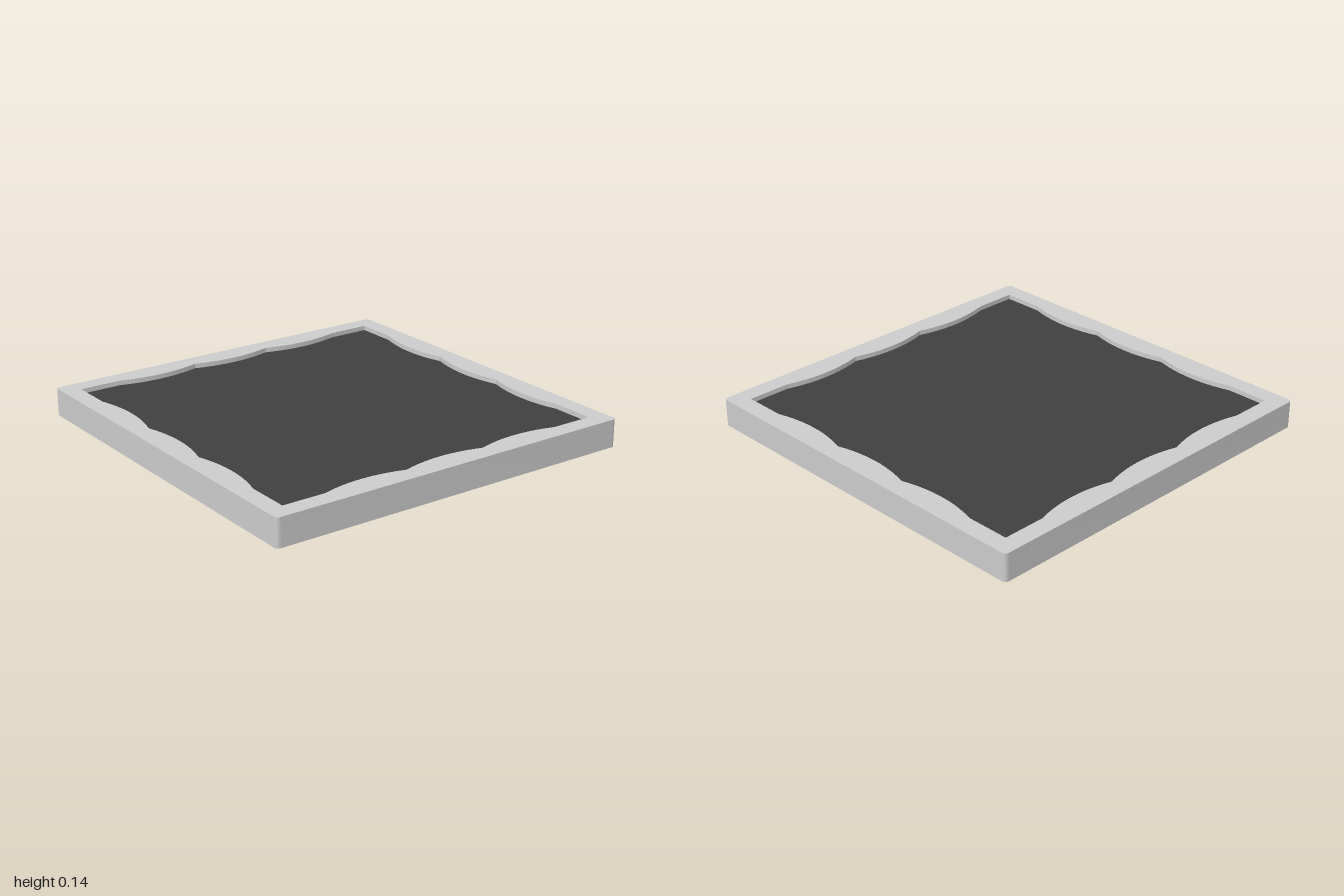
import * as THREE from 'three';
import { toCreasedNormals } from 'three/addons/utils/BufferGeometryUtils.js';

const HEIGHT = 0.145, PANEL_TOP = 0.12;
const INNER = 0.905, WAVE_END = 0.68, WAVES = 3, WAVE_DEPTH = 0.035;

// Square outline with rounded corners
function roundedSquare(half, r) {
  const s = new THREE.Shape(), c = half - r;
  s.absarc(c, c, r, 0, Math.PI / 2);
  s.absarc(-c, c, r, Math.PI / 2, Math.PI);
  s.absarc(-c, -c, r, Math.PI, Math.PI * 1.5);
  s.absarc(c, -c, r, Math.PI * 1.5, Math.PI * 2);
  s.closePath();
  return s;
}

// Square outline whose sides each carry three shallow inward scallops
function scallopedSquare(PathType) {
  const path = new PathType();
  const step = (2 * WAVE_END) / WAVES;
  path.moveTo(INNER, -INNER);
  for (let side = 0; side < 4; side++) {
    const a = (side * Math.PI) / 2, c = Math.cos(a), s = Math.sin(a);
    const at = (d, t) => [d * c - t * s, d * s + t * c];
    path.lineTo(...at(INNER, -WAVE_END));
    for (let i = 0; i < WAVES; i++) {
      const t = -WAVE_END + i * step;
      // the control point lies at twice the depth of the crest
      path.quadraticCurveTo(...at(INNER - 2 * WAVE_DEPTH, t + step / 2), ...at(INNER, t + step));
    }
    if (side < 3) path.lineTo(...at(INNER, INNER));
  }
  path.closePath();
  return path;
}

// Extrude an outline upward from the ground
function slab(name, shape, height, color) {
  const extruded = new THREE.ExtrudeGeometry(shape, { depth: height, bevelEnabled: false, curveSegments: 10 });
  extruded.rotateX(-Math.PI / 2);
  const mesh = new THREE.Mesh(toCreasedNormals(extruded, 0.4), new THREE.MeshStandardMaterial({ color }));
  mesh.name = name;
  return mesh;
}

export function createModel() {
  const model = new THREE.Group();
  model.name = 'framedPanel';

  // Frame with a scalloped opening
  const frameShape = roundedSquare(1, 0.02);
  frameShape.holes.push(scallopedSquare(THREE.Path));
  model.add(slab('frame', frameShape, HEIGHT, 0xcccccc));

  // Dark panel filling the opening, slightly recessed at the top
  model.add(slab('panel', scallopedSquare(THREE.Shape), PANEL_TOP, 0x404040));

  return model;
}
